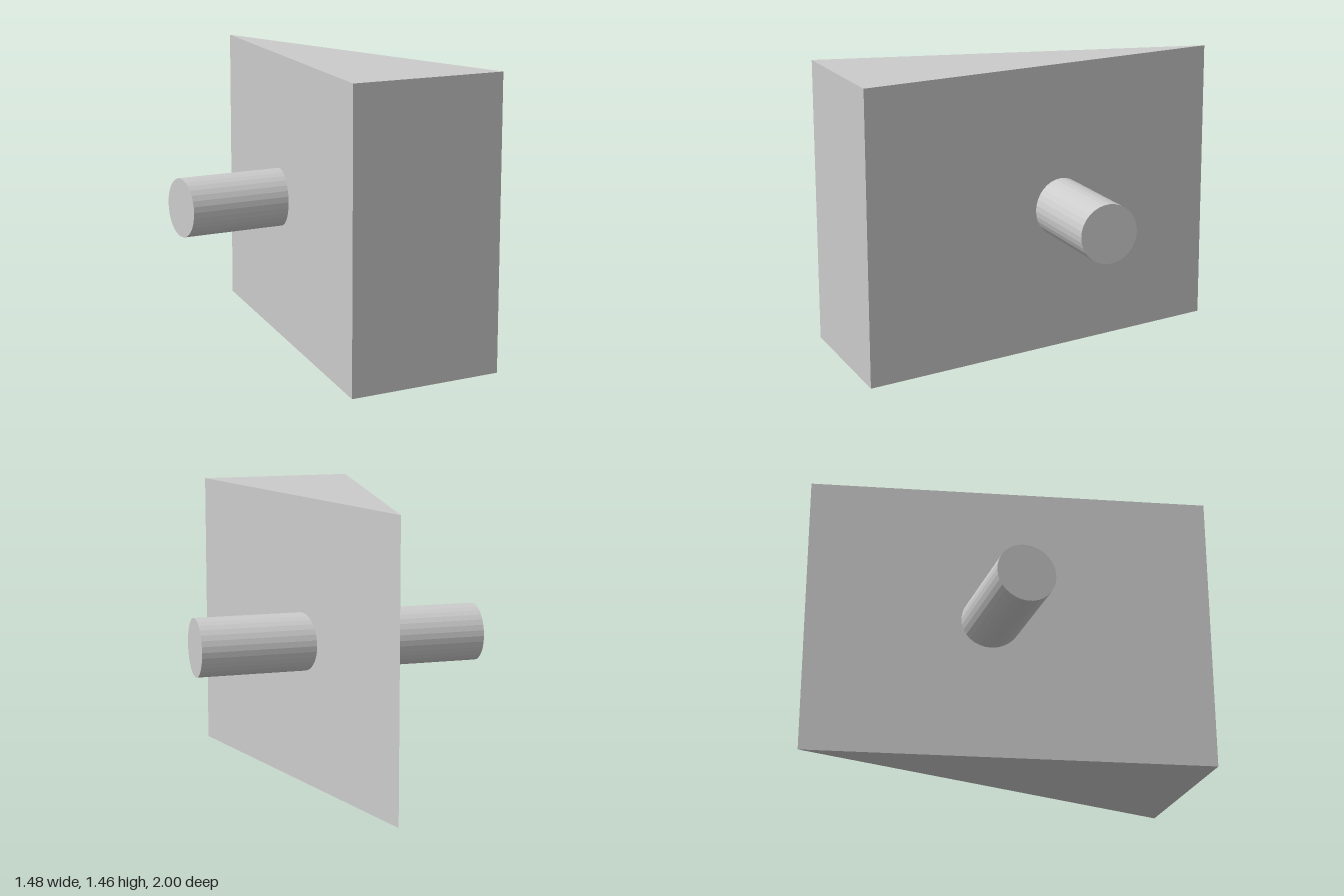
import * as THREE from 'three';

const HEIGHT = 1.455;
const HALF_WIDTH = 0.405;

export function createModel() {
  const model = new THREE.Group();
  const material = new THREE.MeshStandardMaterial({ color: 0xcccccc, flatShading: true });

  // Upright wedge: triangular plan, broad face at the front, sharp edge at the back
  const plan = new THREE.Shape([
    new THREE.Vector2(-HALF_WIDTH, -1),
    new THREE.Vector2(HALF_WIDTH, -1),
    new THREE.Vector2(0, 1),
  ]);
  const wedgeGeometry = new THREE.ExtrudeGeometry(plan, { depth: HEIGHT, bevelEnabled: false });
  wedgeGeometry.rotateX(-Math.PI / 2);
  const wedge = new THREE.Mesh(wedgeGeometry, material);
  wedge.name = 'wedge';
  model.add(wedge);

  // Round bar passing sideways through the wedge at mid height
  const barGeometry = new THREE.CylinderGeometry(0.147, 0.147, 1.475, 32);
  barGeometry.rotateZ(Math.PI / 2);
  const crossBar = new THREE.Mesh(barGeometry, material);
  crossBar.name = 'crossBar';
  crossBar.position.set(0, HEIGHT / 2, -0.093);
  model.add(crossBar);

  return model;
}
